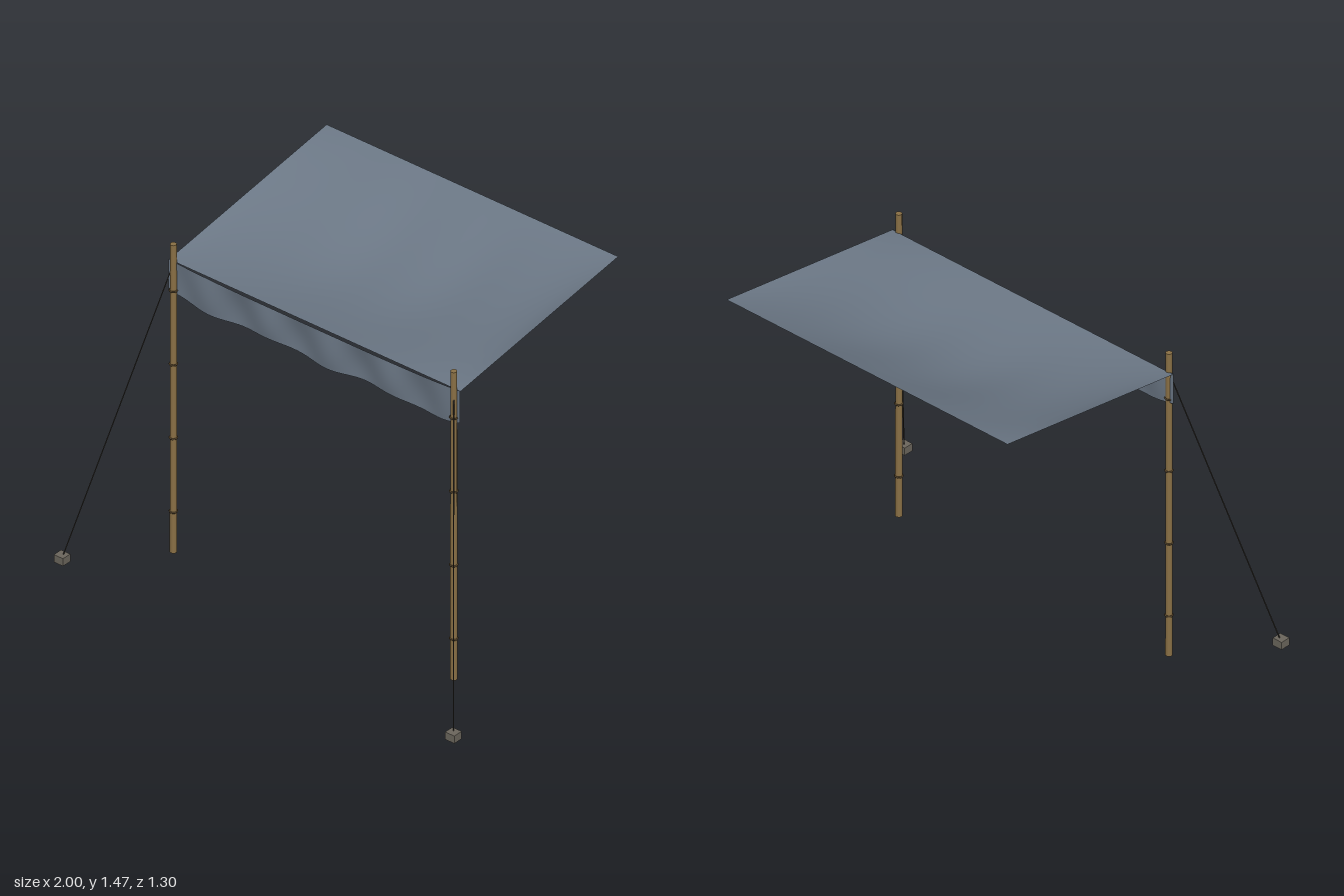
import * as THREE from 'three';

const POLE_X = 0.7, POLE_Z = 0.295, POLE_H = 1.4;

const material = (color, extra = {}) => new THREE.MeshStandardMaterial({ color, ...extra });

function addMesh(parent, name, geometry, mat, x = 0, y = 0, z = 0) {
  const mesh = new THREE.Mesh(geometry, mat);
  mesh.name = name;
  mesh.position.set(x, y, z);
  parent.add(mesh);
  return mesh;
}

// Grid of cloth; place(u, v) maps u in -1..1 and v in 0..1 to a point
function clothGeometry(nu, nv, place) {
  const geometry = new THREE.PlaneGeometry(2, 1, nu, nv);
  const pos = geometry.attributes.position;
  for (let i = 0; i < pos.count; i++) {
    pos.setXYZ(i, ...place(pos.getX(i), 0.5 - pos.getY(i)));
  }
  geometry.computeVertexNormals();
  return geometry;
}

// Roof sheet: straight edges, sagging in the middle, v runs back to front
function canopyPoint(u, v) {
  const t = 1 - v;
  const across = Math.max(0, Math.cos(u * Math.PI / 2)) ** 0.75;
  const along = Math.sin(Math.PI * Math.min(1, Math.max(0, t)));
  const ripple = 0.006 * Math.sin(u * 11 + 1) * along * across * t;
  return [u * 0.728, 1.315 + 0.15 * t - 0.1 * across * along + ripple, 0.288 - 0.94 * t];
}

// Hanging front flap: slack top edge, wavy lower hem, v runs top to bottom
function valancePoint(u, v) {
  const slack = 0.014 * (1 - u ** 4);
  const hem = 1.158 + 0.008 * Math.cos(u * 8.5 + 2.6) + 0.012 * u ** 8;
  const top = 1.317 - slack;
  const fold = 0.012 * Math.sin(u * 15) * Math.sin(v * Math.PI * 0.75) * (1 - u ** 8);
  return [u * 0.728, top + (hem - top) * v, 0.29 + fold];
}

function rope(from, to) {
  return new THREE.TubeGeometry(new THREE.LineCurve3(from, to), 1, 0.0025, 6);
}

export function createModel() {
  const model = new THREE.Group();
  model.name = 'awning';

  const cloth = material(0x6b7785, { side: THREE.DoubleSide });
  const bamboo = material(0x8a7045);
  const nodeMat = material(0x54432a);
  const ropeMat = material(0x3c3832);
  const stoneMat = material(0x6b665c, { flatShading: true });

  addMesh(model, 'canopy', clothGeometry(40, 28, canopyPoint), cloth);
  addMesh(model, 'valance', clothGeometry(64, 8, valancePoint), cloth);

  for (const side of [1, -1]) {
    const support = new THREE.Group();
    support.name = side > 0 ? 'leftSupport' : 'rightSupport';
    model.add(support);

    // Bamboo pole with raised nodes
    addMesh(support, 'pole', new THREE.CylinderGeometry(0.0135, 0.0145, POLE_H, 10),
      bamboo, side * POLE_X, POLE_H / 2, POLE_Z);
    for (let i = 0; i < 4; i++) {
      const node = addMesh(support, 'poleNode', new THREE.TorusGeometry(0.0145, 0.004, 6, 12),
        nodeMat, side * POLE_X, 0.185 + i * 0.335, POLE_Z);
      node.rotation.x = Math.PI / 2;
    }

    // Guy rope down to its anchor block
    addMesh(support, 'guyRope', rope(
      new THREE.Vector3(side * POLE_X, 1.31, POLE_Z),
      new THREE.Vector3(side * 0.977, 0.02, 0.628)), ropeMat);
    addMesh(support, 'anchorBlock', new THREE.BoxGeometry(0.046, 0.034, 0.044),
      stoneMat, side * 0.977, 0.02, 0.628);
  }
  return model;
}
